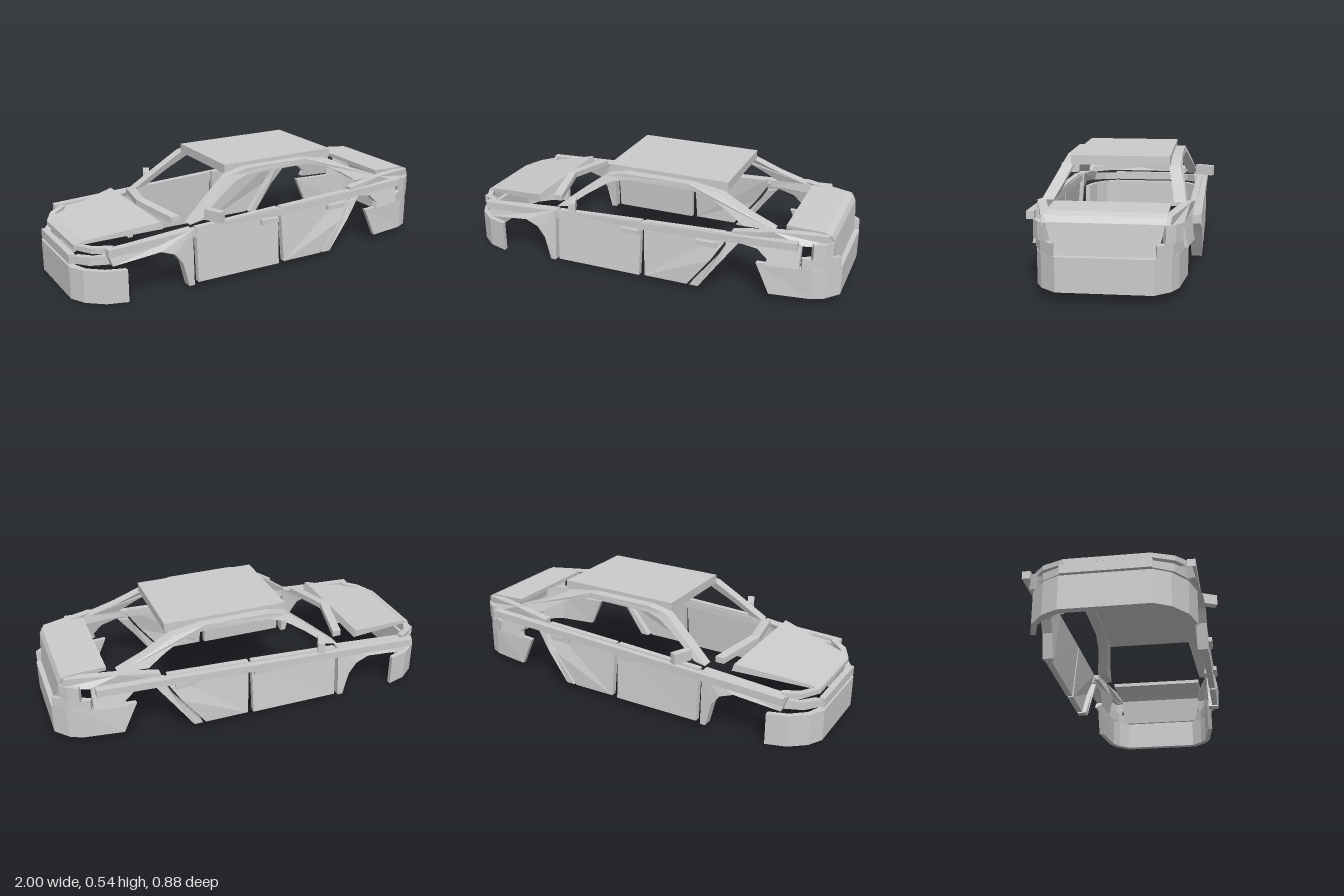
import * as THREE from 'three';

const mat = new THREE.MeshStandardMaterial({ color: 0xcccccc, flatShading: true, side: THREE.DoubleSide });

export function createModel() {
  const car = new THREE.Group();

  const add = (name, geo) => {
    geo.computeVertexNormals();
    const mesh = new THREE.Mesh(geo, mat);
    mesh.name = name;
    car.add(mesh);
    return mesh;
  };

  // Copy across z with the triangle winding turned back
  const mirrored = (geo) => {
    const g = geo.index ? geo.toNonIndexed() : geo.clone();
    const p = g.attributes.position;
    const a = new THREE.Vector3(), b = new THREE.Vector3();
    for (let i = 0; i < p.count; i += 3) {
      a.fromBufferAttribute(p, i + 1);
      b.fromBufferAttribute(p, i + 2);
      p.setXYZ(i + 1, b.x, b.y, b.z);
      p.setXYZ(i + 2, a.x, a.y, a.z);
    }
    for (let i = 0; i < p.count; i++) p.setZ(i, -p.getZ(i));
    return g;
  };
  const pair = (name, geo) => {
    add(name + 'Left', mirrored(geo));
    add(name + 'Right', geo);
  };

  // Side profile in x, y extruded to depth 1, then placed by rule
  const profile = (pts, place) => {
    const shape = new THREE.Shape(pts.map(([x, y]) => new THREE.Vector2(x, y)));
    const geo = new THREE.ExtrudeGeometry(shape, { depth: 1, bevelEnabled: false });
    const p = geo.attributes.position;
    for (let i = 0; i < p.count; i++) p.setZ(i, place(p.getX(i), p.getY(i), p.getZ(i)));
    return geo;
  };
  // Side panel: outer surface z = outer(x, y), thickness t inward
  const panel = (pts, outer, t) => profile(pts, (x, y, d) => outer(x, y) - t * (1 - d));
  // Full-width part: half width given by rule
  const across = (pts, half) => profile(pts, (x, y, d) => (2 * d - 1) * half(x, y));

  // Wall following a plan path of [x, z, inner x, inner z], between heights from rules
  const band = (path, low, high) => {
    const pos = [], index = [];
    path.forEach(([x, z, xi, zi]) => {
      pos.push(x, low(x), z, x, high(x), z, xi, high(x), zi, xi, low(x), zi);
    });
    for (let i = 0; i < path.length - 1; i++) {
      for (let k = 0; k < 4; k++) {
        const a = i * 4 + k, b = i * 4 + (k + 1) % 4;
        index.push(a, a + 4, b, b, a + 4, b + 4);
      }
    }
    const e = (path.length - 1) * 4;
    index.push(0, 1, 2, 0, 2, 3, e, e + 2, e + 1, e, e + 3, e + 2);
    const geo = new THREE.BufferGeometry();
    geo.setAttribute('position', new THREE.Float32BufferAttribute(pos, 3));
    geo.setIndex(index);
    return geo.toNonIndexed();
  };
  const wrap = (half) => [...half, ...half.slice().reverse().map(([x, z, xi, zi]) => [x, -z, xi, -zi])];

  // Roof and its side frames
  add('roof', new THREE.BoxGeometry(0.63, 0.045, 0.474).translate(0.115, 0.517, 0));
  pair('windowFrame', panel([
    [-0.45, 0.31], [-0.39, 0.32], [-0.28, 0.4], [-0.17, 0.468], [-0.1, 0.488], [0.25, 0.492],
    [0.37, 0.465], [0.45, 0.425], [0.54, 0.37], [0.69, 0.375], [0.55, 0.425], [0.4, 0.495],
    [0.24, 0.52], [-0.1, 0.52], [-0.2, 0.498], [-0.32, 0.41],
  ], (x, y) => 0.285 + 0.35 * Math.max(0, 0.495 - y), 0.055));

  // Hood, cowl and trunk lid
  add('hood', across([[-0.96, 0.255], [-0.57, 0.3], [-0.58, 0.335], [-0.93, 0.275]],
    (x) => 0.2 + (x + 0.96) * 0.28));
  const cowl = [];
  for (const s of [-1, 0, 1]) {
    const k = Math.abs(s);
    cowl.push([-0.57 + 0.06 * k, 0.272 * s, -0.525 + 0.06 * k, 0.272 * s]);
  }
  add('cowl', band(cowl.reverse(), (x) => 0.325 - (x + 0.57) * 0.35, (x) => 0.355 - (x + 0.57) * 0.35));
  add('trunkLid', across([
    [0.73, 0.36], [0.89, 0.352], [0.925, 0.335], [0.95, 0.195], [0.975, 0.195],
    [0.96, 0.335], [0.945, 0.362], [0.91, 0.375], [0.73, 0.38],
  ], (x, y) => 0.262 - 0.24 * Math.max(0, 0.37 - y)));

  // Bumpers
  add('rearBumper', band(wrap([
    [0.65, 0.338, 0.65, 0.315], [0.88, 0.31, 0.87, 0.285], [0.94, 0.28, 0.92, 0.255], [1, 0.21, 0.965, 0.2],
  ]), () => 0.04, () => 0.195).translate(0, 0, 0));
  const rear = car.getObjectByName('rearBumper').geometry.attributes.position;
  for (let i = 0; i < rear.count; i++) {
    if (rear.getX(i) < 0.7) rear.setX(i, rear.getY(i) > 0.1 ? 0.61 : 0.68);
  }
  const nose = wrap([
    [-0.78, 0.37, -0.78, 0.345], [-0.88, 0.34, -0.87, 0.315], [-0.96, 0.275, -0.94, 0.255], [-1, 0.2, -0.965, 0.19],
  ]).reverse();
  add('frontBumper', band(nose, () => 0, () => 0.16));
  add('numberPlate', new THREE.BoxGeometry(0.01, 0.03, 0.18).translate(-0.995, 0.09, 0));

  // Nose: grille, headlights and hood edge
  add('grille', new THREE.BoxGeometry(0.03, 0.045, 0.4).translate(-0.983, 0.195, 0));
  pair('headlight', band([
    [-0.985, 0.2, -0.95, 0.19], [-0.93, 0.285, -0.905, 0.265], [-0.83, 0.345, -0.82, 0.32],
  ], (x) => 0.175 + (x + 0.985) * 0.1, (x) => 0.21 + (x + 0.985) * 0.17));
  add('hoodEdge', band(wrap([
    [-0.84, 0.35, -0.83, 0.32], [-0.92, 0.29, -0.9, 0.265], [-0.97, 0.19, -0.94, 0.185],
  ]).reverse(), (x) => 0.235 + (x + 0.97) * 0.08, (x) => 0.258 + (x + 0.97) * 0.12));

  // Side panels
  const lean = (x, y) => 0.392 - 0.2 * Math.max(0, y - 0.2);
  pair('frontFender', panel([
    [-0.85, 0.19], [-0.62, 0.22], [-0.55, 0.195], [-0.51, 0.14], [-0.48, 0.02], [-0.452, 0.02],
    [-0.447, 0.295], [-0.87, 0.255],
  ], (x, y) => lean(x, y) - 0.1 * Math.max(0, -x - 0.6), 0.05));
  pair('frontDoor', panel([[-0.43, 0.03], [0.025, 0.03], [0.03, 0.32], [-0.43, 0.3]], lean, 0.03));
  pair('rearDoor', panel([
    [0.055, 0.035], [0.28, 0.035], [0.4, 0.19], [0.46, 0.285], [0.46, 0.335], [0.045, 0.32],
  ], lean, 0.03));
  pair('rearArchStrip', panel([
    [0.295, 0.035], [0.34, 0.035], [0.45, 0.19], [0.53, 0.295], [0.47, 0.28], [0.43, 0.21],
  ], lean, 0.05));
  pair('rearFender', panel([
    [0.47, 0.285], [0.54, 0.297], [0.62, 0.28], [0.67, 0.235], [0.66, 0.205], [0.82, 0.205],
    [0.82, 0.33], [0.47, 0.32],
  ], (x, y) => lean(x, y) - 0.15 * Math.max(0, x - 0.5), 0.035));
  pair('rearShoulder', panel([
    [0.49, 0.315], [0.83, 0.318], [0.91, 0.31], [0.95, 0.32], [0.935, 0.365], [0.69, 0.375], [0.49, 0.345],
  ], (x) => 0.355 - 0.05 * (x - 0.5) - 0.4 * Math.max(0, x - 0.8), 0.04));

  // Rear lights
  pair('tailLight', band([
    [0.96, 0.255, 0.93, 0.24], [0.93, 0.295, 0.905, 0.275], [0.88, 0.325, 0.865, 0.3],
  ].reverse(), () => 0.25, () => 0.33));
  pair('rearCorner', band([
    [0.83, 0.325, 0.82, 0.3], [0.93, 0.285, 0.91, 0.26], [0.995, 0.222, 0.965, 0.215],
  ], () => 0.195, () => 0.25));

  // Waist rails, set slightly further out on one side
  const rise = (x) => 0.235 + (x + 0.87) * 0.0446;
  for (const [name, a, b] of [['Right', 0.335, 0.372], ['Left', -0.398, -0.36]]) {
    add('waistRail' + name, profile(
      [[-0.87, rise(-0.87)], [0.81, rise(0.81)], [0.81, rise(0.81) + 0.037], [-0.87, rise(-0.87) + 0.037]],
      (x, y, d) => a + (b - a) * d));
  }

  // Mirrors and door handles
  pair('mirror', new THREE.BoxGeometry(0.035, 0.053, 0.098).rotateY(0.42).translate(-0.34, 0.35, 0.386));
  pair('frontHandle', new THREE.BoxGeometry(0.095, 0.025, 0.02).translate(-0.027, 0.264, 0.382));
  pair('rearHandle', new THREE.BoxGeometry(0.105, 0.025, 0.02).translate(0.375, 0.273, 0.382));

  return car;
}
